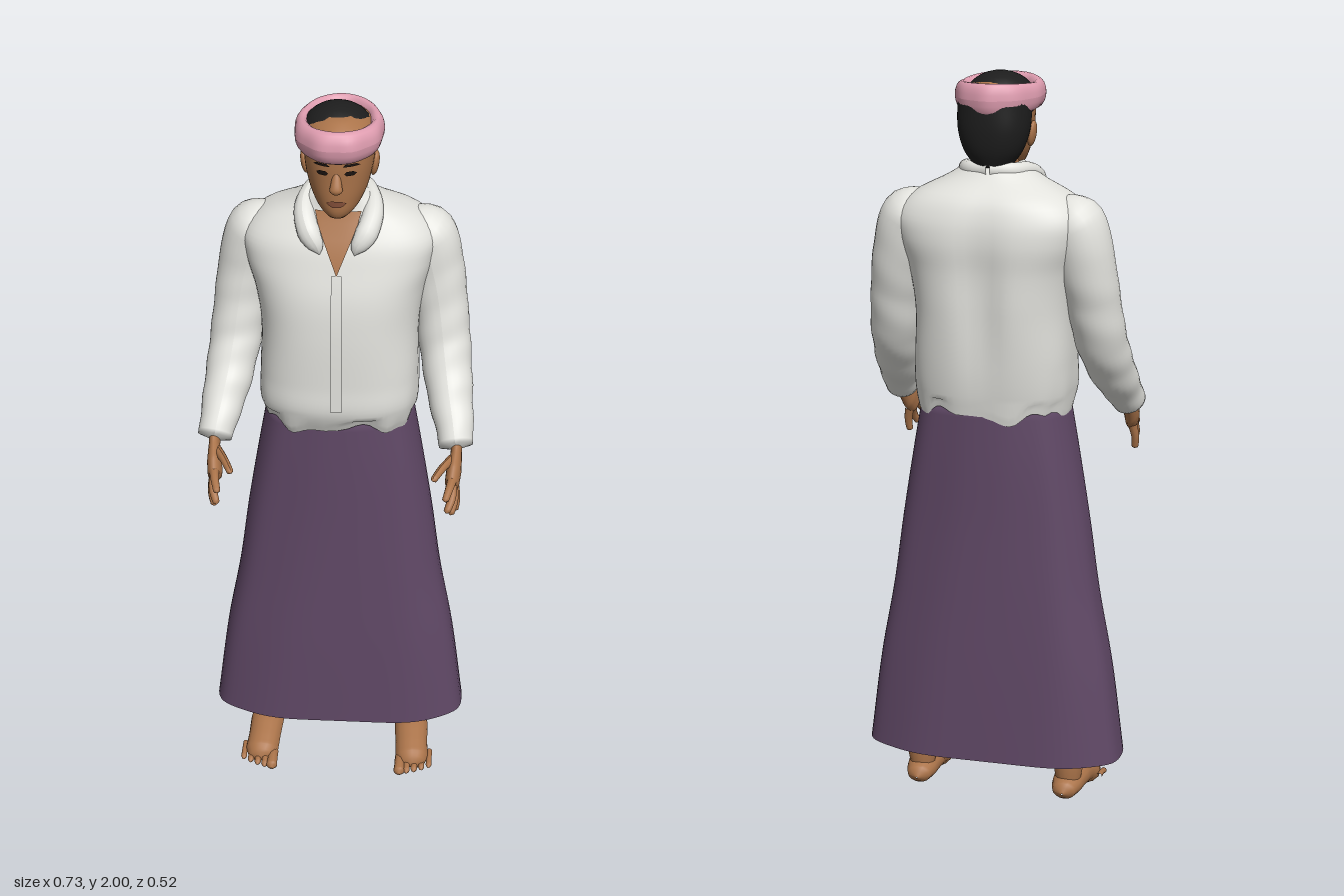
import * as THREE from 'three';

const mat = (name, color, side = THREE.FrontSide) => {
  const m = new THREE.MeshStandardMaterial({ color, side });
  m.name = name;
  return m;
};

// Smooth lookup of a section table: rows are [y, centreZ, radiusX, radiusZ, squareness]
function sampler(rows) {
  const it = new THREE.CubicInterpolant(
    new Float32Array(rows.map(r => r[0])), new Float32Array(rows.flatMap(r => r.slice(1))), 4);
  return y => Array.from(it.evaluate(y));
}

// Stack of rounded cross-sections, closed with caps where asked
function loft(rows, { n = 48, steps = 32, top = true, bottom = true, warp } = {}) {
  const at = sampler(rows), y0 = rows[0][0], y1 = rows[rows.length - 1][0];
  const pos = [], idx = [], v = new THREE.Vector3();
  const pw = (c, p) => Math.sign(c) * Math.pow(Math.abs(c), 2 / p);
  for (let i = 0; i <= steps; i++) {
    const y = y0 + (y1 - y0) * i / steps, [cz, rx, rz, p] = at(y);
    for (let j = 0; j < n; j++) {
      const a = j / n * Math.PI * 2;
      v.set(rx * pw(Math.cos(a), p), y, cz + rz * pw(Math.sin(a), p));
      if (warp) warp(v, a);
      pos.push(v.x, v.y, v.z);
      if (i < steps) {
        const k = i * n + j, l = i * n + (j + 1) % n;
        idx.push(k, k + n, l, l, k + n, l + n);
      }
    }
  }
  const cap = (y, base, up) => {
    const c = pos.length / 3;
    pos.push(0, y, at(y)[0]);
    for (let j = 0; j < n; j++) {
      const k = base + j, l = base + (j + 1) % n;
      up ? idx.push(c, l, k) : idx.push(c, k, l);
    }
  };
  if (top) cap(y1, steps * n, true);
  if (bottom) cap(y0, 0, false);
  const g = new THREE.BufferGeometry();
  g.setAttribute('position', new THREE.Float32BufferAttribute(pos, 3));
  g.setIndex(idx);
  g.computeVertexNormals();
  return g;
}

// Tapered tube through [x, y, z, radius] points; s mirrors x, flat squashes the section
function limb(pts, s = 1, { seg = 24, n = 16, flat = [1, 1, 1], floor = -1, warp } = {}) {
  const curve = new THREE.CatmullRomCurve3(pts.map(p => new THREE.Vector3(p[0] * s, p[1], p[2])));
  const g = new THREE.TubeGeometry(curve, seg, 1, n), P = g.attributes.position;
  const v = new THREE.Vector3(), f = new THREE.Vector3(...flat);
  for (let i = 0; i <= seg; i++) {
    const t = curve.getUtoTmapping(i / seg) * (pts.length - 1);
    const k = Math.min(pts.length - 2, Math.floor(t)), c = curve.getPointAt(i / seg);
    let r = THREE.MathUtils.lerp(pts[k][3], pts[k + 1][3], t - k);
    for (let j = 0; j <= n; j++) {
      const q = i * (n + 1) + j;
      const w = warp ? warp(i / seg, j / n * Math.PI * 2) : 1;
      v.fromBufferAttribute(P, q).sub(c).multiply(f).multiplyScalar(r * w).add(c);
      P.setXYZ(q, v.x, Math.max(v.y, floor), v.z);
    }
  }
  g.computeVertexNormals();
  return g;
}

// Thin plate lying on the front of a lofted body; rows are [y, xLeft, xRight] from top down
function plate(rows, at, lift) {
  const g = new THREE.PlaneGeometry(1, 1, 8, rows.length - 1), P = g.attributes.position;
  rows.forEach(([y, a, b], i) => {
    const [cz, rx, rz, p] = at(y);
    for (let j = 0; j <= 8; j++) {
      const x = a + (b - a) * j / 8;
      const z = cz + rz * Math.pow(Math.max(0, 1 - Math.pow(Math.abs(x / rx), p)), 1 / p);
      P.setXYZ(i * 9 + j, x, y, z + lift);
    }
  });
  g.computeVertexNormals();
  return g;
}

export function createModel() {
  const model = new THREE.Group();
  const white = mat('shirt white', 0xe2e2dd, THREE.DoubleSide);
  const purple = mat('skirt purple', 0x614967, THREE.DoubleSide);
  const skin = mat('skin', 0xab744a), hair = mat('hair black', 0x1d1d1d);
  const pink = mat('headband pink', 0xdf9db0);
  const dark = mat('eye dark', 0x1a1310), lip = mat('lip brown', 0x85503a);
  const add = (name, geo, m) => {
    const mesh = new THREE.Mesh(geo, m);
    mesh.name = name;
    model.add(mesh);
    return mesh;
  };
  const ball = (name, m, p, sc) => {
    const b = add(name, new THREE.SphereGeometry(1, 24, 16), m);
    b.position.set(...p);
    b.scale.set(...sc);
    return b;
  };

  // Long skirt, open at the bottom
  add('skirt', loft([
    [0.14, -0.08, 0.355, 0.147, 2.7], [0.4, -0.078, 0.32, 0.146, 2.7], [0.6, -0.077, 0.283, 0.144, 2.7],
    [0.8, -0.076, 0.255, 0.143, 2.6], [1.0, -0.076, 0.222, 0.144, 2.6], [1.14, -0.076, 0.197, 0.143, 2.6],
  ], { n: 64, bottom: false, warp: (v, a) => { v.z += 0.003 * Math.sin(a * 7 + v.y * 3); } }), purple);

  // Shirt body with a wavy hem, soft folds and a furrow down the back
  const torso = [
    [1.115, -0.075, 0.201, 0.149, 2.6], [1.17, -0.068, 0.213, 0.166, 2.6], [1.25, -0.073, 0.214, 0.171, 2.6],
    [1.4, -0.08, 0.21, 0.175, 2.6], [1.5, -0.085, 0.225, 0.17, 2.6], [1.58, -0.096, 0.25, 0.16, 2.6],
    [1.64, -0.1, 0.255, 0.145, 2.5], [1.69, -0.1, 0.21, 0.12, 2.4], [1.73, -0.085, 0.13, 0.09, 2.2],
    [1.765, -0.07, 0.075, 0.078, 2],
  ];
  const torsoAt = sampler(torso);
  add('shirtBody', loft(torso, {
    n: 72, steps: 48, bottom: false,
    warp: (v, a) => {
      const y = v.y, low = Math.max(0, 1.25 - y) / 0.14;
      if (y < 1.15) v.y += 0.014 * Math.sin(a * 5 + 1) + 0.008 * Math.sin(a * 11);
      const k = 1 + 0.008 * Math.sin(a * 4 + y * 14) + 0.008 * low * Math.sin(a * 13);
      v.x *= k;
      if (Math.sin(a) < 0) {
        const fade = Math.exp(-Math.pow((y - 1.42) / 0.2, 2));
        v.z += 0.022 * fade * Math.exp(-Math.pow(v.x / 0.05, 2));
      }
    },
  }), white);
  add('openNeck', plate([[1.73, -0.06, 0.06], [1.7, -0.052, 0.052], [1.66, -0.036, 0.036],
    [1.62, -0.019, 0.019], [1.575, -0.001, 0.001]], torsoAt, 0.006), skin);
  add('placket', plate([[1.575, -0.012, 0.014], [1.5, -0.014, 0.016], [1.4, -0.014, 0.016],
    [1.3, -0.014, 0.016], [1.19, -0.014, 0.016]], torsoAt, 0.005), white);

  // Neck and head
  add('neck', loft([[1.6, -0.07, 0.06, 0.06, 2], [1.7, -0.065, 0.057, 0.064, 2], [1.78, -0.07, 0.056, 0.066, 2],
    [1.85, -0.075, 0.06, 0.07, 2]]), skin);
  const head = [
    [1.732, 0.03, 0.024, 0.027, 2], [1.745, 0.008, 0.043, 0.056, 2], [1.78, -0.025, 0.068, 0.093, 2.1],
    [1.83, -0.043, 0.084, 0.113, 2.2], [1.88, -0.05, 0.091, 0.122, 2.2], [1.93, -0.05, 0.09, 0.118, 2.1],
    [1.965, -0.05, 0.075, 0.1, 2], [1.985, -0.05, 0.04, 0.06, 2],
  ];
  const headAt = sampler(head);
  add('head', loft(head), skin);
  add('nose', limb([[0, 1.87, 0.062, 0.004], [0, 1.845, 0.07, 0.011], [0, 1.818, 0.078, 0.016],
    [0, 1.806, 0.074, 0.001]], 1, { flat: [1.1, 1, 0.9] }), skin);
  add('lips', plate([[1.786, -0.012, 0.012], [1.78, -0.026, 0.026], [1.774, -0.02, 0.02],
    [1.768, -0.01, 0.01]], headAt, 0.004), lip);

  // Hair: back of the head and crown
  add('backHair', loft([[1.762, -0.105, 0.05, 0.05, 2], [1.8, -0.103, 0.076, 0.067, 2.2],
    [1.85, -0.098, 0.092, 0.08, 2.3], [1.93, -0.09, 0.096, 0.088, 2.2]]), hair);
  ball('crownHair', hair, [-0.005, 1.925, -0.056], [0.094, 0.075, 0.099]);

  // Rolled headband, thicker at the front
  const band = new THREE.TorusGeometry(1, 0.4, 18, 72), B = band.attributes.position;
  for (let i = 0; i <= 18; i++) for (let j = 0; j <= 72; j++) {
    const b = i / 18 * Math.PI * 2, a = j / 72 * Math.PI * 2, front = Math.max(0, -Math.sin(a));
    const t = (0.019 + 0.008 * front) * (1 + 0.08 * Math.sin(a * 9)), o = t * Math.cos(b);
    B.setXYZ(i * 73 + j, (0.095 + o) * Math.cos(a),
      1.937 + (0.034 + 0.009 * Math.abs(Math.sin(a))) * Math.sin(b),
      -0.04 - (0.126 - 0.003 * front + o) * Math.sin(a));
  }
  band.computeVertexNormals();
  add('headband', band, pink);

  // Everything that comes in pairs
  for (const s of [1, -1]) {
    const side = s > 0 ? 'left' : 'right';
    const span = (y, a, b) => s > 0 ? [y, a, b] : [y, -b, -a];
    add(side + 'Eye', plate([span(1.869, 0.027, 0.042), span(1.863, 0.02, 0.052),
      span(1.857, 0.026, 0.045)], headAt, 0.004), dark);
    add(side + 'Eyebrow', plate([span(1.889, 0.024, 0.05), span(1.882, 0.016, 0.06)], headAt, 0.004), dark);
    ball(side + 'Ear', skin, [s * 0.09, 1.84, -0.055], [0.011, 0.034, 0.02]).rotation.z = -s * 0.15;

    // Collar flap from nape to the open neck
    add(side + 'Collar', limb([[-0.002, 1.755, -0.148, 0.02], [0.055, 1.752, -0.125, 0.022],
      [0.083, 1.742, -0.06, 0.024], [0.088, 1.715, -0.005, 0.028], [0.072, 1.675, 0.035, 0.03],
      [0.052, 1.645, 0.048, 0.02], [0.045, 1.625, 0.05, 0.001]], s, { flat: [1, 1, 0.75] }), white);

    // Sleeve with soft folds
    add(side + 'Sleeve', limb([[0.15, 1.65, -0.105, 0.04], [0.215, 1.618, -0.112, 0.085],
      [0.247, 1.52, -0.11, 0.079], [0.266, 1.42, -0.095, 0.072], [0.281, 1.31, -0.065, 0.069],
      [0.298, 1.21, 0.0, 0.062], [0.315, 1.135, 0.07, 0.05], [0.323, 1.095, 0.105, 0.044],
      [0.324, 1.092, 0.108, 0.002]], s,
    { seg: 60, n: 28, warp: (u, a) => 1 + 0.03 * Math.sin(u * 42 + 2 * Math.sin(a)) * u }), white);

    // Hand: palm, four fingers and thumb
    add(side + 'Palm', limb([[0.322, 1.11, 0.085, 0.03], [0.322, 1.085, 0.118, 0.03],
      [0.318, 1.055, 0.155, 0.04], [0.314, 1.03, 0.185, 0.038], [0.312, 1.018, 0.2, 0.002]], s,
    { flat: [0.5, 1, 1] }), skin);
    const fingers = [
      [[0.315, 1.052, 0.195], [0.309, 1.045, 0.23], [0.3, 1.03, 0.265], 'IndexFinger'],
      [[0.316, 1.035, 0.19], [0.315, 1.01, 0.225], [0.304, 0.985, 0.25], 'MiddleFinger'],
      [[0.318, 1.02, 0.178], [0.321, 0.988, 0.2], [0.314, 0.96, 0.218], 'RingFinger'],
      [[0.32, 1.015, 0.16], [0.326, 0.978, 0.168], [0.324, 0.947, 0.175], 'LittleFinger'],
      [[0.312, 1.082, 0.14], [0.288, 1.082, 0.19], [0.267, 1.072, 0.234], 'Thumb'],
    ];
    for (const [a, b, c, name] of fingers) {
      const end = c.map((q, i) => q + (c[i] - b[i]) * 0.12);
      add(side + name, limb([[...a, 0.013], [...b, 0.011], [...c, 0.009], [...end, 0.001]], s,
        { seg: 14, n: 10 }), skin);
    }

    // Leg, foot and toes
    add(side + 'Leg', limb([[0.21, 0.04, -0.1, 0.03], [0.21, 0.1, -0.097, 0.041], [0.209, 0.16, -0.095, 0.04],
      [0.2, 0.38, -0.095, 0.055], [0.18, 0.62, -0.08, 0.06], [0.178, 0.64, -0.08, 0.001]], s), skin);
    add(side + 'Foot', limb([[0.208, 0.04, -0.162, 0.002], [0.208, 0.042, -0.148, 0.03],
      [0.209, 0.048, -0.11, 0.042], [0.211, 0.052, -0.05, 0.048], [0.214, 0.038, 0.01, 0.046],
      [0.218, 0.02, 0.06, 0.047], [0.22, 0.014, 0.092, 0.03], [0.22, 0.012, 0.098, 0.001]], s,
    { seg: 30, flat: [1, 0.8, 1], floor: 0 }), skin);
    for (let i = 0; i < 5; i++) {
      const x = 0.184 + i * 0.021, z = 0.128 - i * 0.004 - i * i * 0.0012, r = i ? 0.0105 - i * 0.0005 : 0.016;
      add(side + 'Toe' + (i + 1), limb([[x, 0.02, z - 0.065, r * 0.9], [x, 0.018, z - 0.03, r * 0.9],
        [x, 0.012, z - 0.006, r], [x, 0.01, z + 0.004, 0.001]], s, { seg: 12, n: 10, floor: 0 }), skin);
    }
  }
  return model;
}
